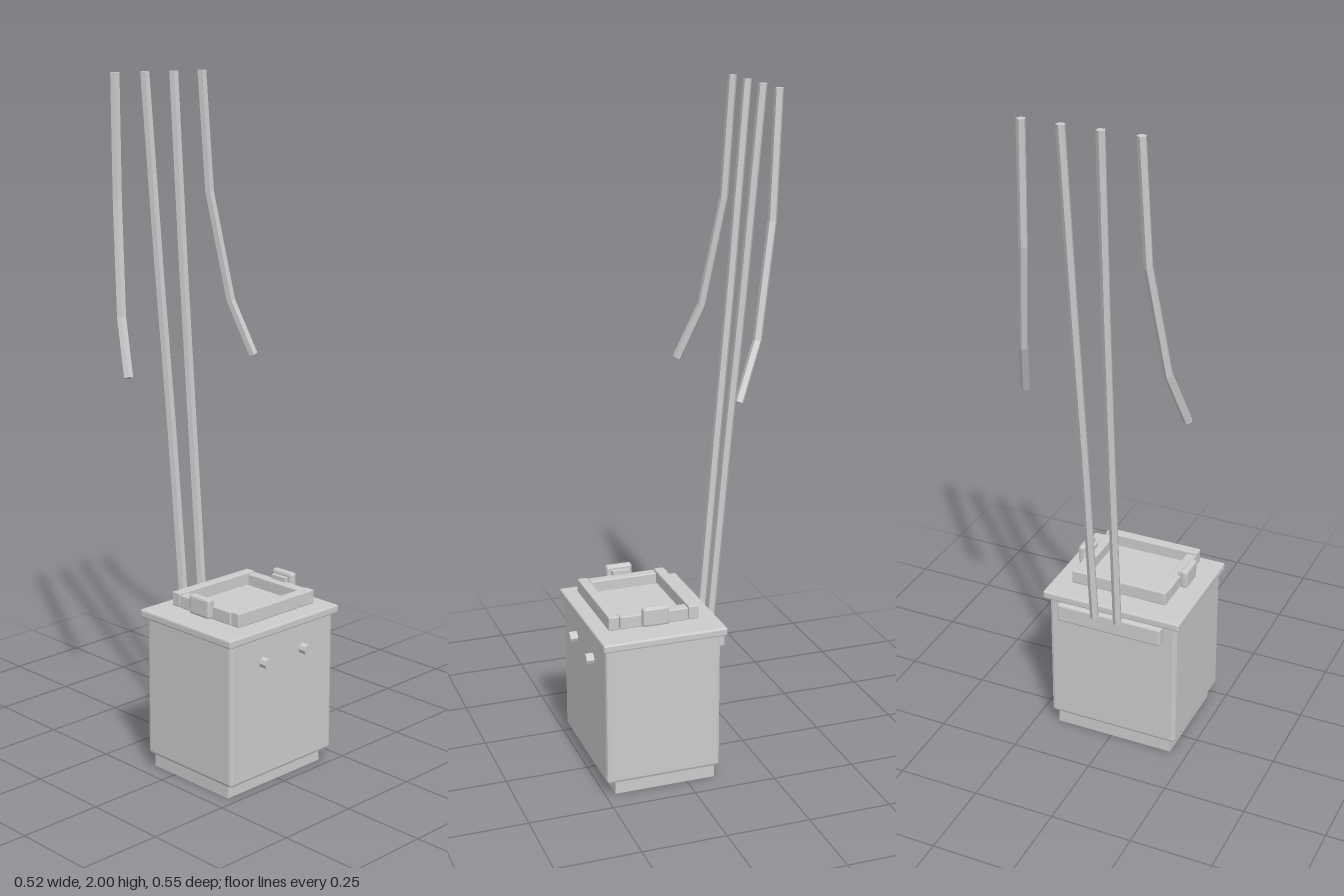
import * as THREE from 'three';
import { RoundedBoxGeometry } from 'three/addons/geometries/RoundedBoxGeometry.js';

const V = (x, y, z) => new THREE.Vector3(x, y, z);

// five-sided rod swept along a polyline, capped at both ends
function rodGeometry(points, radius, sides = 5) {
  const n = points.length, rings = [], pos = [];
  for (let i = 0; i < n; i++) {
    const t = points[Math.min(i + 1, n - 1)].clone().sub(points[Math.max(i - 1, 0)]).normalize();
    if (i === n - 1) t.set(0, 1, 0);
    const back = V(0, 0, -1).addScaledVector(t, t.z).normalize();
    const side = new THREE.Vector3().crossVectors(t, back);
    const ring = [];
    for (let k = 0; k < sides; k++) {
      const a = (k / sides) * Math.PI * 2;
      ring.push(points[i].clone()
        .addScaledVector(back, Math.cos(a) * radius)
        .addScaledVector(side, Math.sin(a) * radius));
    }
    rings.push(ring);
  }
  const tri = (...c) => c.forEach((p) => pos.push(p.x, p.y, p.z));
  for (let i = 0; i < n - 1; i++) {
    for (let k = 0; k < sides; k++) {
      const m = (k + 1) % sides;
      const a = rings[i][k], b = rings[i][m], c = rings[i + 1][m], d = rings[i + 1][k];
      tri(a, b, c);
      tri(a, c, d);
    }
  }
  for (let k = 1; k < sides - 1; k++) {
    tri(rings[0][0], rings[0][k + 1], rings[0][k]);
    tri(rings[n - 1][0], rings[n - 1][k], rings[n - 1][k + 1]);
  }
  const g = new THREE.BufferGeometry();
  g.setAttribute('position', new THREE.Float32BufferAttribute(pos, 3));
  g.computeVertexNormals();
  return g;
}

export function createModel() {
  const group = new THREE.Group();
  const material = new THREE.MeshStandardMaterial({ color: 0xcccccc, flatShading: true });

  const add = (name, geometry) => {
    const mesh = new THREE.Mesh(geometry, material);
    mesh.name = name;
    group.add(mesh);
    return mesh;
  };
  // box given by its extents, with an optional bevel
  const box = (name, [x0, x1], [y0, y1], [z0, z1], bevel = 0) => {
    const size = [x1 - x0, y1 - y0, z1 - z0];
    const g = bevel ? new RoundedBoxGeometry(...size, 1, bevel) : new THREE.BoxGeometry(...size);
    add(name, g).position.set((x0 + x1) / 2, (y0 + y1) / 2, (z0 + z1) / 2);
  };

  // housing
  box('base', [-0.197, 0.178], [0, 0.05], [-0.086, 0.22]);
  box('body', [-0.215, 0.197], [0.043, 0.475], [-0.097, 0.25], 0.01);
  box('topPlate', [-0.228, 0.212], [0.464, 0.489], [-0.112, 0.26], 0.005);
  box('backLedge', [-0.175, 0.159], [0.405, 0.464], [-0.125, -0.09], 0.006);

  // raised tray on top
  box('trayFloor', [-0.13, 0.115], [0.485, 0.505], [-0.02, 0.195]);
  box('trayBackRail', [-0.16, 0.145], [0.5, 0.542], [-0.048, -0.017], 0.003);
  box('trayFrontRail', [-0.16, 0.145], [0.5, 0.542], [0.193, 0.224], 0.003);
  box('trayRightRail', [-0.16, -0.129], [0.5, 0.539], [-0.015, 0.19], 0.003);
  box('trayLeftRail', [0.114, 0.145], [0.5, 0.539], [-0.015, 0.19], 0.003);

  // handles on both sides of the tray
  for (const s of [-1, 1]) {
    const span = (a, b) => [-0.008 + s * a, -0.008 + s * b].sort((p, q) => p - q);
    box('handleGrip', span(0.156, 0.179), [0.507, 0.565], [0.05, 0.13], 0.007);
    box('handleBracket', span(0.143, 0.158), [0.515, 0.552], [0.062, 0.115]);
  }

  // front knobs
  for (const x of [-0.089, 0.071]) {
    const knob = add('knob', new THREE.CylinderGeometry(0.016, 0.016, 0.035, 8));
    knob.rotation.x = Math.PI / 2;
    knob.position.set(x, 0.39, 0.256);
  }

  // long rods rising from the back ledge
  for (const s of [-1, 1]) {
    const x = (d) => -0.004 + s * d;
    add('longRod', rodGeometry([
      V(x(0.037), 0.455, -0.128), V(x(0.041), 1.0, -0.174),
      V(x(0.047), 1.43, -0.213), V(x(0.055), 2, -0.259),
    ], 0.0135));
  }

  // short curved rods hanging outside them
  for (const s of [-1, 1]) {
    const x = (d) => (s < 0 ? -d - 0.004 : d - 0.004);
    add('shortRod', rodGeometry([
      V(x(0.246), 1.17, -0.124), V(x(0.214), 1.33, -0.188),
      V(x(0.178), 1.65, -0.241), V(x(0.165), 2, -0.259),
    ], 0.0135));
  }

  return group;
}
